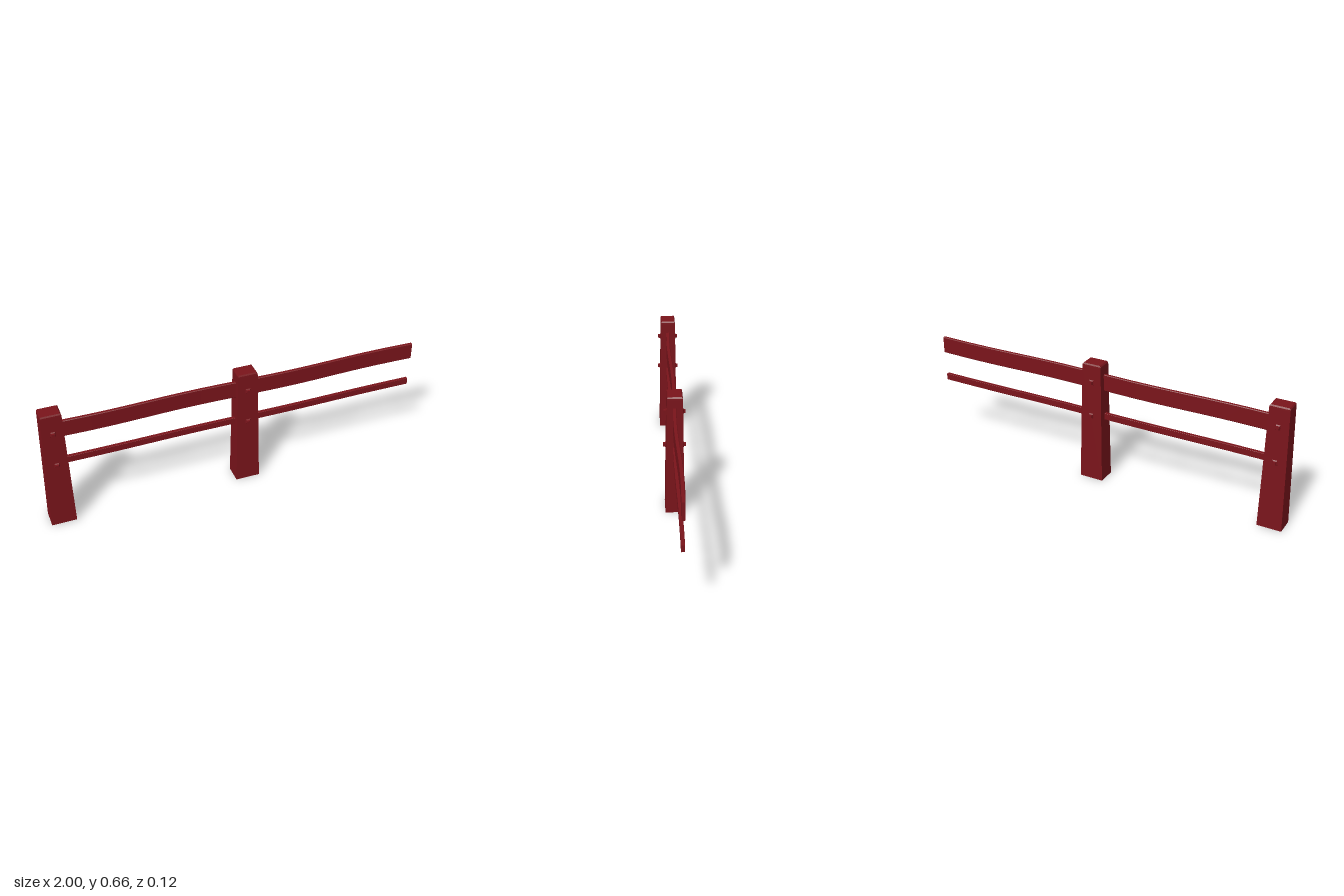
import * as THREE from 'three';

const red = new THREE.MeshStandardMaterial({ color: 0x7a141b, flatShading: true });

const POST_X = [-0.936, 0.057];
const POST_HEIGHT = [0.661, 0.653];
const BOLT_Y = [0.554, 0.367];
const DEPTH = 0.77; // post depth relative to its width

function part(name, geometry, parent) {
  const mesh = new THREE.Mesh(geometry, red);
  mesh.name = name;
  parent.add(mesh);
  return mesh;
}

// Square-section solid from a profile of [half width, height]
function squareLathe(profile) {
  const points = profile.map(([r, y]) => new THREE.Vector2(r * Math.SQRT2, y));
  return new THREE.LatheGeometry(points, 4, Math.PI / 4);
}

// Long plank with chamfered edges along x, gently warped in z
function rail(length, height, thickness, chamfer, warp) {
  const h = height / 2, t = thickness / 2, c = chamfer;
  const shape = new THREE.Shape([
    [-t + c, -h], [t - c, -h], [t, -h + c], [t, h - c],
    [t - c, h], [-t + c, h], [-t, h - c], [-t, -h + c],
  ].map(([x, y]) => new THREE.Vector2(x, y)));
  const geometry = new THREE.ExtrudeGeometry(shape, { depth: length, steps: 10, bevelEnabled: false });
  geometry.rotateY(Math.PI / 2);
  const pos = geometry.attributes.position;
  for (let i = 0; i < pos.count; i++) {
    const u = pos.getX(i) / length;
    pos.setZ(i, pos.getZ(i) + warp * Math.sin(u * Math.PI * 2));
  }
  geometry.computeVertexNormals();
  return geometry;
}

export function createModel() {
  const fence = new THREE.Group();
  fence.name = 'fence';

  const boltGeometry = squareLathe([[0.013, -0.004], [0.013, 0.001], [0.008, 0.005], [0.008, 0.014], [0, 0.014]]);
  boltGeometry.rotateX(Math.PI / 2);
  const upperGeometry = rail(0.936, 0.09, 0.018, 0.003, 0.005);
  const lowerGeometry = rail(0.931, 0.035, 0.018, 0.001, 0.002);

  POST_X.forEach((x, i) => {
    const section = new THREE.Group();
    section.name = 'fenceSection' + (i + 1);
    section.position.x = x;
    fence.add(section);

    // Tapered post with a chamfered top
    const top = POST_HEIGHT[i];
    const postGeometry = squareLathe([
      [0, 0], [0.064, 0], [0.052, top - 0.015], [0.0515, top - 0.007], [0.046, top], [0, top],
    ]);
    postGeometry.scale(1, 1, DEPTH);
    part('post', postGeometry, section);

    // Square-headed bolts on front and back
    for (const y of BOLT_Y) {
      const surface = (0.064 - 0.012 * y / (top - 0.015)) * DEPTH;
      for (const side of [1, -1]) {
        const bolt = part('bolt', boltGeometry, section);
        bolt.position.set(0, y, side * surface);
        if (side < 0) bolt.rotation.y = Math.PI;
      }
    }

    // Rails running from this post to the next
    part('upperRail', upperGeometry, section).position.set(0.007, 0.55, 0);
    part('lowerRail', lowerGeometry, section).position.set(0.007, 0.36, 0.001);
  });

  return fence;
}
